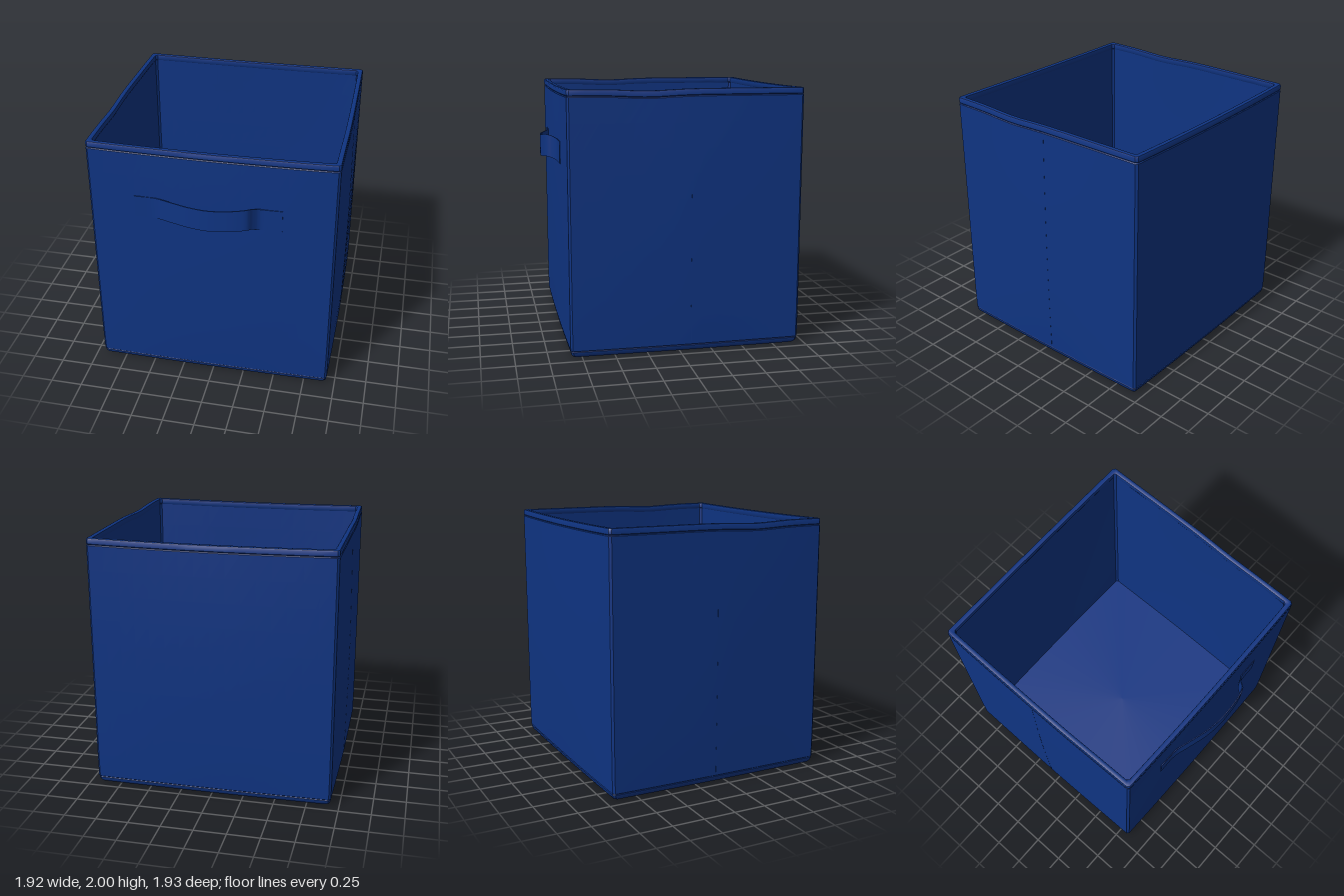
import * as THREE from 'three';
import { toCreasedNormals } from 'three/addons/utils/BufferGeometryUtils.js';

const HX = 0.938, HZ = 0.893, CZ = -0.055; // half width, half depth, centre of the box in z
const STEPS = 16, CORNER = 0.016;

// How far the soft fabric walls puff out at height y
const bulge = (y) => 0.008 + 0.013 * Math.sin(Math.PI * Math.min(1, Math.max(0, y / 2)));

// One closed ring of the box: inset from the outer wall, height, scale towards the centre
function ring(inset, y, scale = 1) {
  const pts = [];
  for (let side = 0; side < 4; side++) {
    const across = side % 2 === 0;
    const len = (across ? HX : HZ) - inset, out = (across ? HZ : HX) - inset;
    for (let i = 0; i <= STEPS; i++) {
      const t = -1 + (2 * i) / STEPS;
      const u = t * (len - CORNER);
      const v = out + bulge(y) * (1 - Math.pow(Math.abs(t), across ? 2 : 1.4));
      const [x, z] = [[u, v], [v, -u], [-u, -v], [-v, u]][side];
      // The rim sags slightly between the stiff corners
      let sag = 0;
      if (y > 1.9) sag = across ? 0.008 * (1 - t * t) : 0.014 * Math.exp(-Math.pow((z - 0.3) / 0.22, 2));
      pts.push([x * scale, y - sag, z * scale + CZ]);
    }
  }
  return pts;
}

// Skin through a list of rings
function skin(rings) {
  const n = rings[0].length, index = [];
  for (let i = 0; i < rings.length - 1; i++) {
    for (let j = 0; j < n; j++) {
      const a = i * n + j, b = i * n + (j + 1) % n;
      index.push(a, b, b + n, a, b + n, a + n);
    }
  }
  const g = new THREE.BufferGeometry();
  g.setAttribute('position', new THREE.Float32BufferAttribute(rings.flat(2), 3));
  g.setIndex(index);
  return toCreasedNormals(g, 0.6);
}

export function createModel() {
  const group = new THREE.Group();
  const fabric = new THREE.MeshStandardMaterial({ color: 0x0f3482 });
  fabric.name = 'navy fabric';
  const add = (name, geometry) => {
    const mesh = new THREE.Mesh(geometry, fabric);
    mesh.name = name;
    group.add(mesh);
    return mesh;
  };

  // Underside with rounded bottom edge
  const base = [ring(0.04, 0, 0), ring(0.04, 0)];
  for (let i = 1; i <= 4; i++) {
    const a = (i / 4) * Math.PI / 2;
    base.push(ring(0.04 - 0.035 * Math.sin(a), 0.045 * (1 - Math.cos(a))));
  }
  base.push(ring(0.008, 0.05));
  add('base', skin(base));

  // Outer walls
  const outer = [ring(0.008, 0.05), ring(0.002, 0.056)];
  for (let i = 1; i <= 10; i++) outer.push(ring(0, 0.056 + 1.888 * i / 10));
  outer.push(ring(0.005, 1.95));
  add('outerWalls', skin(outer));

  // Folded hem around the opening
  add('rim', skin([
    ring(0.005, 1.95), ring(0, 1.957), ring(0, 1.988), ring(0.004, 1.997), ring(0.012, 2),
    ring(0.03, 2), ring(0.038, 1.995), ring(0.04, 1.986), ring(0.04, 1.957), ring(0.036, 1.95),
  ]));

  // Inner walls and floor
  const inner = [];
  for (let i = 0; i <= 10; i++) inner.push(ring(0.036, 1.95 - 1.91 * i / 10));
  inner.push(ring(0.036, 0.04, 0));
  add('liner', skin(inner));

  // Vertical seam halfway along each side wall
  for (const s of [-1, 1]) {
    const g = new THREE.BoxGeometry(0.006, 1.86, 0.008, 1, 12, 1);
    const p = g.attributes.position;
    for (let i = 0; i < p.count; i++) {
      const y = p.getY(i) + 1.01;
      p.setXYZ(i, p.getX(i) + s * (HX + bulge(y) * 0.97 - 0.002), y, p.getZ(i) - 0.085);
    }
    g.computeVertexNormals();
    add(s > 0 ? 'leftSeam' : 'rightSeam', g);
  }

  // Strap handle: sewn flat at both ends, bowed out and lifted towards its left end
  const path = new THREE.CatmullRomCurve3([
    [-0.58, 0, 0.851], [-0.42, 0, 0.854], [-0.28, 0, 0.894], [-0.14, 0, 0.934], [0, 0.002, 0.955],
    [0.12, 0.012, 0.956], [0.22, 0.023, 0.948], [0.29, 0.03, 0.93], [0.325, 0.02, 0.89],
    [0.365, 0.004, 0.859], [0.43, 0, 0.852], [0.54, 0, 0.85],
  ].map((p) => new THREE.Vector3(...p)));
  const strap = new THREE.BoxGeometry(1, 0.172, 0.008, 72, 4, 1);
  const p = strap.attributes.position;
  for (let i = 0; i < p.count; i++) {
    const t = p.getX(i) + 0.5, c = path.getPoint(t), d = path.getTangent(t);
    const h = p.getY(i), w = p.getZ(i), m = Math.hypot(d.x, d.z);
    p.setXYZ(i, c.x - d.z / m * w, 1.504 + c.y + h, c.z + d.x / m * w);
  }
  add('handle', toCreasedNormals(strap, 0.7));

  return group;
}
